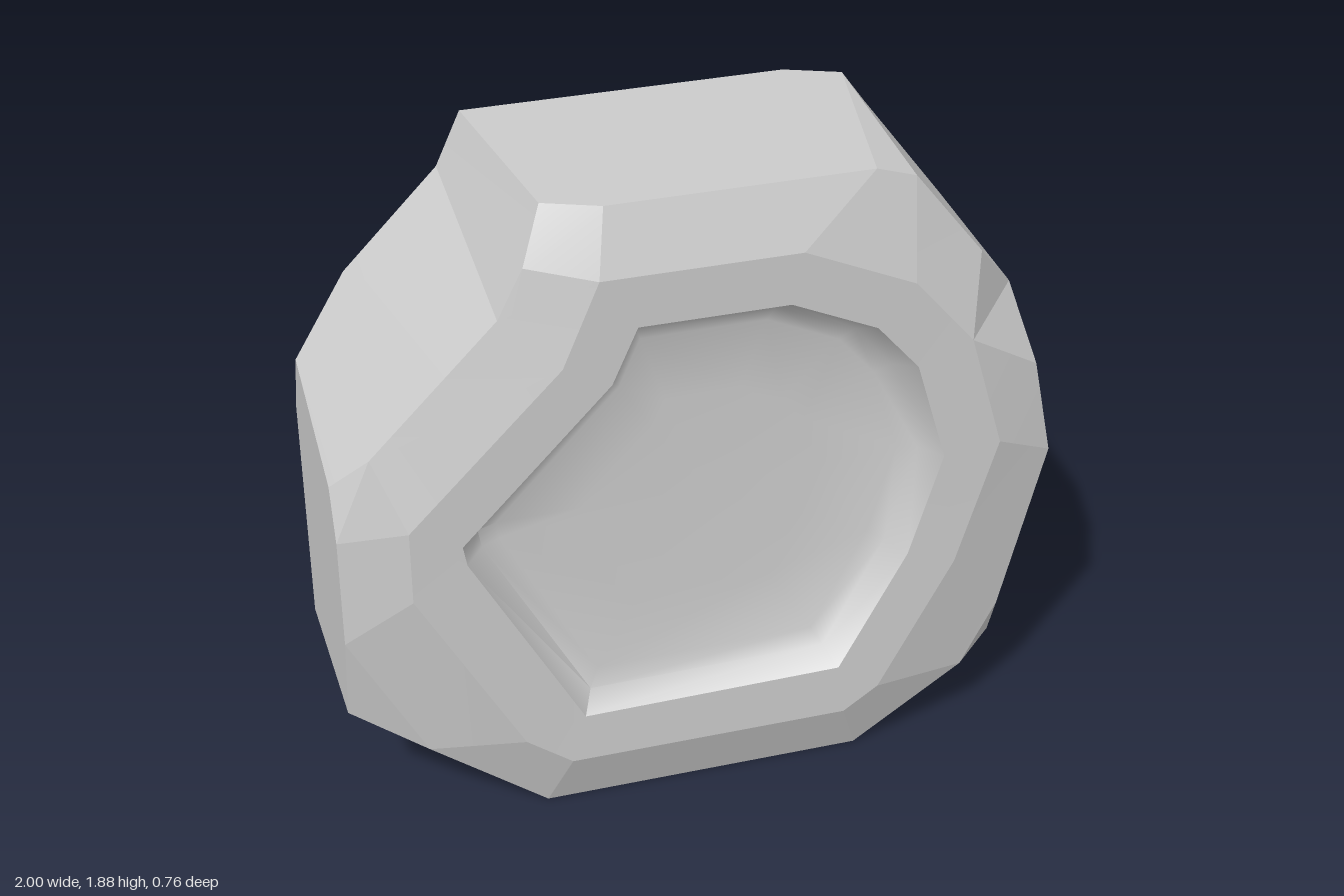
import * as THREE from 'three';
import { toCreasedNormals } from 'three/addons/utils/BufferGeometryUtils.js';

// Rings of [x, y, z?], counter-clockwise seen from the front, starting bottom left
const ring = (z, pts) => pts.map(([x, y, pz = z]) => new THREE.Vector3(x, y, pz));
// A shrunken ring on the hollow's floor, which leans slightly deeper towards the top
const inset = (pts, k, z) => pts.map((p) => {
  const dy = (p.y - 0.96) * k;
  return new THREE.Vector3(p.x * k, 0.96 + dy, z - 0.02 * dy);
});
// The same ring with some corners cut off, so that each becomes a small triangular chip
const cutCorners = (pts, ...corners) => pts.filter((p, i) => !corners.includes(i));

const frontRim = ring(0.375, [
  [-0.36, 0.33], [0.38, 0.34], [0.57, 0.7], [0.66, 1.01], [0.57, 1.31], [0.45, 1.45],
  [0.21, 1.56], [-0.2, 1.56], [-0.27, 1.4], [-0.68, 0.97], [-0.67, 0.91],
]);
const frontFace = ring(0.378, [
  [-0.4, 0.18], [0.4, 0.18], [0.5, 0.25], [0.71, 0.65], [0.82, 1.03], [0.72, 1.37], [0.55, 1.57],
  [0.24, 1.71], [-0.3, 1.71], [-0.4, 1.47], [-0.82, 1.04], [-0.82, 0.82], [-0.53, 0.28],
]);
const frontEdge = ring(0.31, [
  [-0.46, 0], [0.46, 0], [0.78, 0.22], [0.88, 0.29, 0.26], [0.88, 0.42], [1, 0.93], [0.94, 1.22],
  [0.88, 1.44, 0.22], [0.755, 1.6], [0.56, 1.85], [0.45, 1.885], [-0.27, 1.885], [-0.42, 1.885, 0.25],
  [-0.48, 1.74], [-0.55, 1.6], [-0.9, 1.24], [-1, 1.14, 0.25], [-1, 1.0], [-1, 0.67],
  [-1, 0.39, 0.25], [-0.79, 0.26],
]);
const backEdge = ring(-0.31, [
  [-0.57, 0], [0.58, 0], [0.88, 0.21], [0.95, 0.65], [0.99, 0.85, -0.23], [0.97, 1.04], [0.88, 1.44],
  [0.64, 1.76], [0.55, 1.885, -0.25], [0.4, 1.885], [-0.5, 1.885], [-0.57, 1.73], [-0.84, 1.45],
  [-1, 1.25, -0.22], [-1, 1.05], [-1, 0.34],
]);
const backRim = ring(-0.378, [
  [-0.46, 0.18], [0.54, 0.18], [0.7, 0.43], [0.81, 0.91], [0.63, 1.47], [0.18, 1.7],
  [-0.4, 1.7], [-0.57, 1.5], [-0.83, 0.83], [-0.82, 0.55],
]);
const backFloor = ring(-0.325, [
  [-0.38, 0.32], [0.43, 0.31], [0.56, 0.49], [0.67, 0.91], [0.57, 1.33], [0.15, 1.56],
  [-0.3, 1.56], [-0.43, 1.41], [-0.69, 0.76], [-0.68, 0.61],
]);

// Joins consecutive rings with triangles, always taking the shorter diagonal
function loft(rings) {
  const points = rings.flat();
  const index = [];
  let start = 0;
  for (let r = 0; r + 1 < rings.length; r++) {
    const a = rings[r], b = rings[r + 1];
    const startB = start + a.length;
    let i = 0, j = 0;
    while (i < a.length || j < b.length) {
      const ia = i % a.length, jb = j % b.length;
      const nextA = (i + 1) % a.length, nextB = (j + 1) % b.length;
      const stepA = j === b.length ||
        (i < a.length && a[nextA].distanceTo(b[jb]) < a[ia].distanceTo(b[nextB]));
      const corners = [start + ia, startB + jb, stepA ? start + nextA : startB + nextB];
      const [p, q, s] = corners.map((c) => points[c]);
      // Where the rings share corners there is no triangle
      if (!p.equals(q) && !q.equals(s) && !s.equals(p)) index.push(...corners);
      if (stepA) i++; else j++;
    }
    start = startB;
  }
  const geometry = new THREE.BufferGeometry().setFromPoints(points);
  geometry.setIndex(index);
  geometry.computeVertexNormals();
  return geometry;
}

function part(name, rings, creaseAngle) {
  const material = new THREE.MeshStandardMaterial({ color: 0xcccccc });
  const mesh = new THREE.Mesh(toCreasedNormals(loft(rings), creaseAngle), material);
  mesh.name = name;
  return mesh;
}

export function createModel() {
  const group = new THREE.Group();
  group.name = 'carvedStone';

  // Faceted front band and bevel with chipped corners
  const frontCut = cutCorners(frontEdge, 3, 12, 16, 19);
  group.add(part('frontBevel', [frontRim, frontFace, frontCut, frontEdge], 0.15));

  // Broad planes around the sides
  group.add(part('sides', [frontEdge, backEdge], 0.25));

  // Softer bevel around the back
  const backCut = cutCorners(backEdge, 8, 13);
  group.add(part('backBevel', [backEdge, backCut, backRim], 0.6));

  // Softly dished hollow in the front
  const frontCentre = ring(0.273, [[0, 0.96]]);
  group.add(part('frontHollow', [
    frontCentre, inset(frontRim, 0.5, 0.276), inset(frontRim, 0.84, 0.285),
    inset(frontRim, 0.92, 0.307), frontRim,
  ], 0.8));

  // Shallow flat panel sunk into the back
  const backCentre = ring(-0.325, [[0, 0.94]]);
  group.add(part('backPanel', [backRim, backFloor, backCentre], 0.2));

  return group;
}
